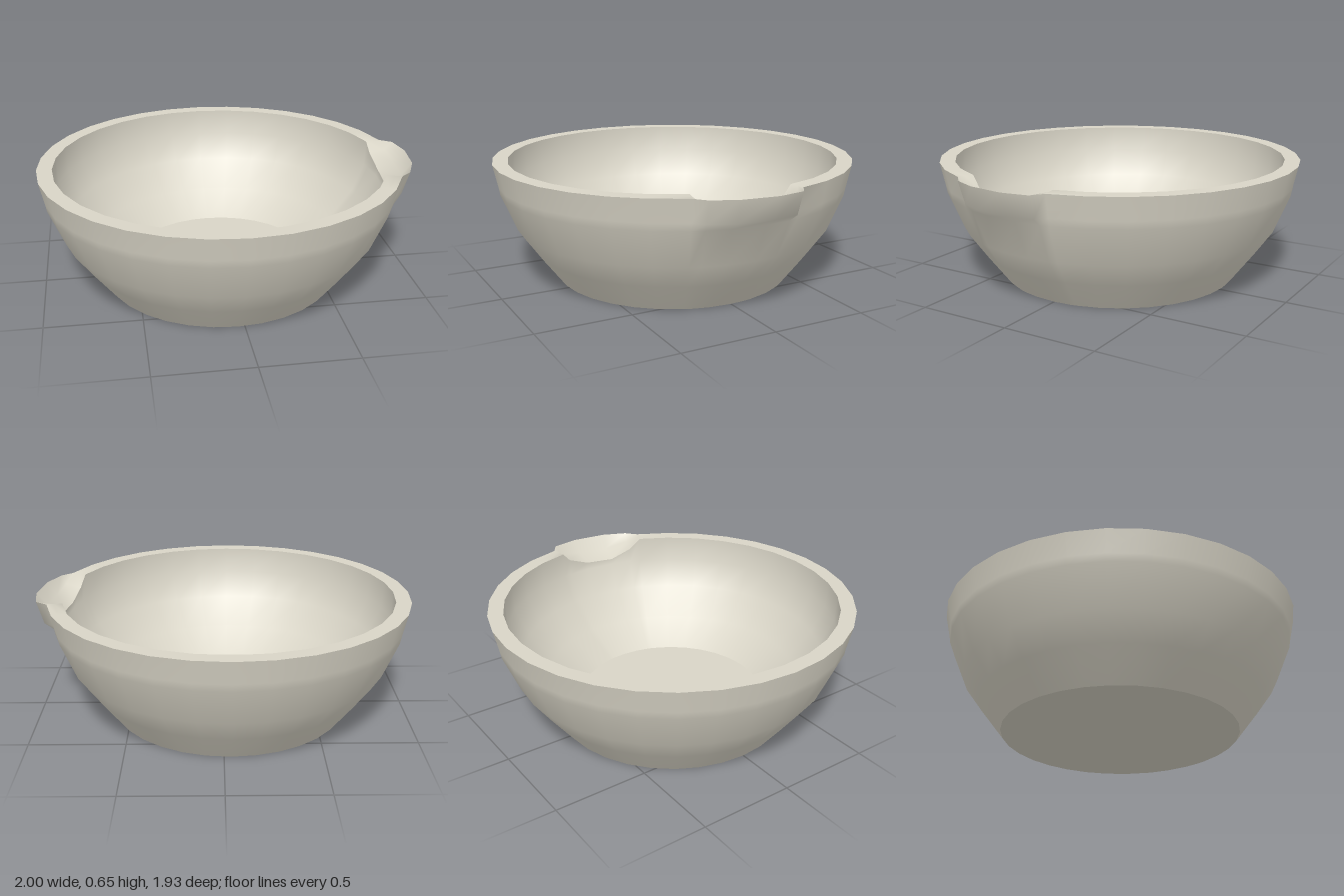
import * as THREE from 'three';

const CENTRE_X = -0.034;
const HEIGHT = 0.65;

// Pouring lip columns: angle in degrees, lip radius, inner groove height
const LIP = [
  [-8.2, 1.02, 0.60],
  [0, 1.034, 0.55],
  [10.7, 1.027, 0.54],
  [18.5, 1.005, 0.59],
];

// Angles around the bowl, with the lip columns replacing the regular ones
function makeColumns() {
  const columns = [];
  for (let i = 0; i < 32; i++) {
    const deg = i * 11.25 - 180;
    if (deg > -11 && deg < 22) continue;
    columns.push({ deg, lip: null });
  }
  for (const [deg, radius, groove] of LIP) columns.push({ deg, lip: { radius, groove } });
  return columns.sort((a, b) => a.deg - b.deg);
}

// Profiles as [radius, height], each giving one section of the bowl
const base = () => [[0, 0], [0.635, 0]];

const outerWall = ({ lip }) => [
  [0.635, 0], [0.757, 0.16], [0.85, 0.29], [0.933, 0.49],
  lip ? [lip.radius - 0.035, 0.53] : [0.94, 0.53],
  [lip ? lip.radius : 0.966, HEIGHT],
];

const rim = ({ lip }) => lip
  ? [[lip.radius, HEIGHT], [0.975, (HEIGHT + lip.groove) / 2 - 0.015], [0.885, lip.groove]]
  : [[0.966, HEIGHT], [0.93, HEIGHT], [0.885, HEIGHT]];

const innerWall = ({ lip }) => [
  [0.885, lip ? lip.groove : HEIGHT], [0.88, 0.51], [0.81, 0.36], [0.68, 0.21], [0.5, 0.085],
];

const floor = () => [[0.5, 0.085], [0, 0.085]];

// Sweep a profile around the bowl, closing the last column onto the first
function sweep(profile, columns) {
  const positions = [];
  const index = [];
  const rows = profile(columns[0]).length;
  columns.forEach((column, j) => {
    const angle = THREE.MathUtils.degToRad(column.deg);
    for (const [r, y] of profile(column)) {
      positions.push(CENTRE_X + r * Math.cos(angle), y, r * Math.sin(angle));
    }
    const next = (j + 1) % columns.length;
    for (let i = 0; i < rows - 1; i++) {
      const a = j * rows + i;
      const b = next * rows + i;
      index.push(a, a + 1, b, b, a + 1, b + 1);
    }
  });
  const geometry = new THREE.BufferGeometry();
  geometry.setAttribute('position', new THREE.Float32BufferAttribute(positions, 3));
  geometry.setIndex(index);
  geometry.computeVertexNormals();
  return geometry;
}

// Flat discs for the underside and the inner floor
function disc(profile, columns, up) {
  const geometry = sweep(profile, columns);
  const normals = geometry.attributes.normal;
  for (let i = 0; i < normals.count; i++) normals.setXYZ(i, 0, up, 0);
  return geometry;
}

export function createModel() {
  const group = new THREE.Group();
  group.name = 'pouringBowl';
  const clay = new THREE.MeshStandardMaterial({ color: 0xd8d4c6 });
  clay.name = 'paleClay';
  const columns = makeColumns();

  const add = (name, geometry) => {
    const mesh = new THREE.Mesh(geometry, clay);
    mesh.name = name;
    group.add(mesh);
  };
  add('base', disc(base, columns, -1));
  add('outerWall', sweep(outerWall, columns));
  add('rimAndSpout', sweep(rim, columns));
  add('innerWall', sweep(innerWall, columns));
  add('floor', disc(floor, columns, 1));
  return group;
}
